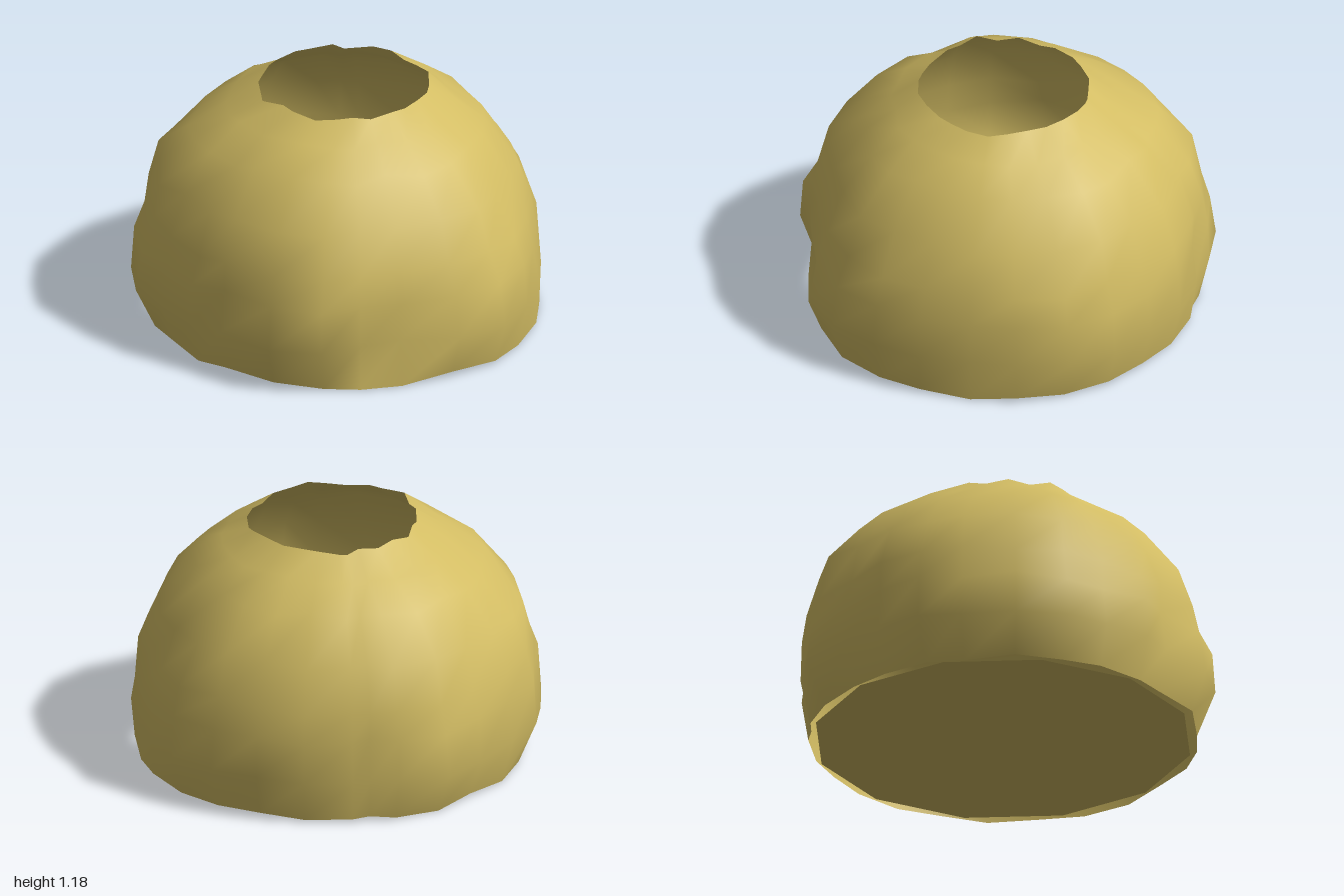
import * as THREE from 'three';

// [x, z] of the widest outline, then the radius of the top opening in that direction
const COLUMNS = [
  [0.04, -0.98, 0.41], [0.28, -0.99, 0.42], [0.48, -0.85, 0.41], [0.56, -0.74, 0.41],
  [0.64, -0.7, 0.41], [0.8, -0.53, 0.41], [0.9, -0.32, 0.4], [0.97, -0.1, 0.38],
  [0.97, 0.15, 0.38], [0.86, 0.37, 0.4], [0.73, 0.55, 0.39], [0.57, 0.74, 0.39],
  [0.38, 0.88, 0.38], [0.16, 0.99, 0.37], [-0.1, 0.97, 0.385], [-0.35, 0.85, 0.4],
  [-0.54, 0.775, 0.4], [-0.72, 0.7, 0.4], [-0.88, 0.5, 0.41], [-0.93, 0.2, 0.41],
  [-0.98, 0.04, 0.4], [-0.96, -0.2, 0.45], [-0.94, -0.42, 0.42], [-0.8, -0.63, 0.42],
  [-0.6, -0.8, 0.415], [-0.43, -0.92, 0.41], [-0.2, -0.97, 0.43],
];

// Ring height, radius, how strongly it follows the outline, lean to the right, lean to the back, roughness
const RINGS = [
  [0.015, 0.93, 0.3, 0, 0, 0.015], [0.22, 0.99, 1, 0, 0, 0.01],
  [0.42, 0.97, 0.9, 0, 0.005, 0.015], [0.57, 0.93, 0.7, 0, 0.02, 0.018],
  [0.77, 0.86, 0.5, 0.012, 0.04, 0.02], [0.97, 0.695, 0.3, 0.015, 0.04, 0.02],
  [1.08, 0.54, 0.2, 0.015, 0.025, 0.016], [1.172, 0, 0, 0, 0, 0.014],
];

function seeded(seed) {
  return () => {
    seed = (seed * 16807) % 2147483647;
    return (seed / 2147483647) * 2 - 1;
  };
}

// Lumpy open dome made from rings of shared vertices, so it shades smoothly
function domeGeometry() {
  const random = seeded(4217);
  const n = COLUMNS.length;
  const positions = [];
  const index = [];
  RINGS.forEach(([height, radius, follow, leanRight, leanBack, rough], j) => {
    COLUMNS.forEach(([x, z, opening], i) => {
      const outline = Math.hypot(x, z);
      const isRim = j === RINGS.length - 1;
      let r = isRim ? opening : radius * (1 + (outline - 0.985) * follow);
      r -= (leanRight * x + leanBack * z) / outline;
      if (!isRim && j !== 1) r += rough * random();
      // Dent low on the front right
      if (j === 1 && (i === 15 || i === 16)) r -= 0.04;
      const y = Math.max(0, height + rough * random());
      positions.push((x / outline) * r, y, (z / outline) * r);
    });
  });
  for (let j = 0; j < RINGS.length - 1; j++) {
    for (let i = 0; i < n; i++) {
      const a = j * n + i;
      const b = j * n + ((i + 1) % n);
      index.push(a, a + n, b, b, a + n, b + n);
    }
  }
  const geometry = new THREE.BufferGeometry();
  geometry.setAttribute('position', new THREE.Float32BufferAttribute(positions, 3));
  geometry.setIndex(index);
  geometry.computeVertexNormals();
  return geometry;
}

export function createModel() {
  const group = new THREE.Group();
  group.name = 'hollowMound';
  const straw = new THREE.MeshStandardMaterial({ color: 0xd2bc63, side: THREE.DoubleSide });
  straw.name = 'straw';

  const dome = new THREE.Mesh(domeGeometry(), straw);
  dome.name = 'dome';

  // Flat twelve-sided floor, visible through the opening
  const floor = new THREE.Mesh(new THREE.CircleGeometry(0.905, 12), straw);
  floor.name = 'floor';
  floor.rotation.x = -Math.PI / 2;
  floor.position.y = 0.02;

  group.add(dome, floor);
  return group;
}
